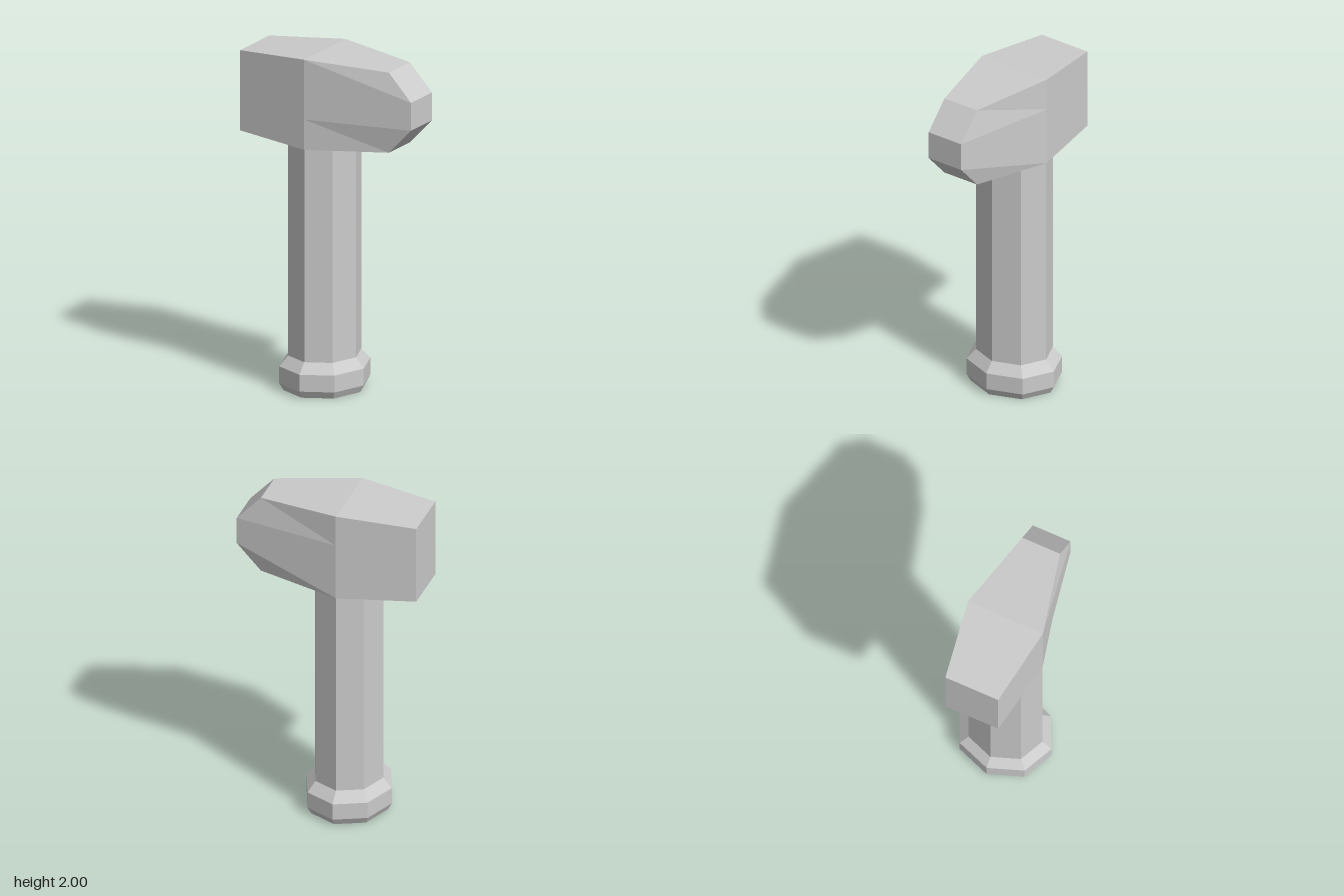
import * as THREE from 'three';

const material = new THREE.MeshStandardMaterial({ color: 0xcccccc, flatShading: true });
const AXIS_X = -0.09;

// Eight-sided turned part, slightly deeper (z) than wide (x)
function octagonal(name, profile) {
  const points = profile.map(([r, y]) => new THREE.Vector2(r, y));
  const mesh = new THREE.Mesh(new THREE.LatheGeometry(points, 8), material);
  mesh.name = name;
  mesh.scale.x = 0.892;
  mesh.position.x = AXIS_X;
  return mesh;
}

// Head lofted through three cross-sections, each with four rows from top to bottom: [x, y]
function hammerHead() {
  const sections = [
    { z: 0.165, rows: [[-0.55, 1.968], [-0.55, 1.81], [-0.55, 1.645], [-0.55, 1.492]] },
    { z: 0.234, rows: [[AXIS_X, 2], [AXIS_X, 1.81], [AXIS_X, 1.645], [AXIS_X, 1.465]] },
    { z: 0.118, rows: [[0.4, 1.968], [0.545, 1.81], [0.545, 1.645], [0.4, 1.492]] },
  ];
  const positions = [];
  for (const { z, rows } of sections) {
    for (const [x, y] of rows) positions.push(x, y, z);
    for (const [x, y] of [...rows].reverse()) positions.push(x, y, -z);
  }

  const index = [];
  const quad = (a, b, c, d) => index.push(a, b, c, a, c, d);
  // Skin between neighbouring sections
  for (let s = 0; s < 2; s++) {
    for (let j = 0; j < 8; j++) {
      const a = s * 8 + j, b = s * 8 + (j + 1) % 8;
      quad(a, b, b + 8, a + 8);
    }
  }
  // Flat striking face and bevelled peen
  for (let k = 0; k < 3; k++) {
    quad(7 - k, 6 - k, k + 1, k);
    quad(16 + k, 17 + k, 22 - k, 23 - k);
  }

  const geometry = new THREE.BufferGeometry();
  geometry.setAttribute('position', new THREE.Float32BufferAttribute(positions, 3));
  geometry.setIndex(index);
  geometry.computeVertexNormals();
  const mesh = new THREE.Mesh(geometry, material);
  mesh.name = 'head';
  return mesh;
}

export function createModel() {
  const group = new THREE.Group();
  group.name = 'hammer';
  group.add(
    octagonal('pommel', [[0, 0], [0.261, 0], [0.287, 0.043], [0.287, 0.143], [0.231, 0.203]]),
    octagonal('handle', [[0.231, 0.203], [0.231, 1.48]]),
    hammerHead(),
  );
  return group;
}
